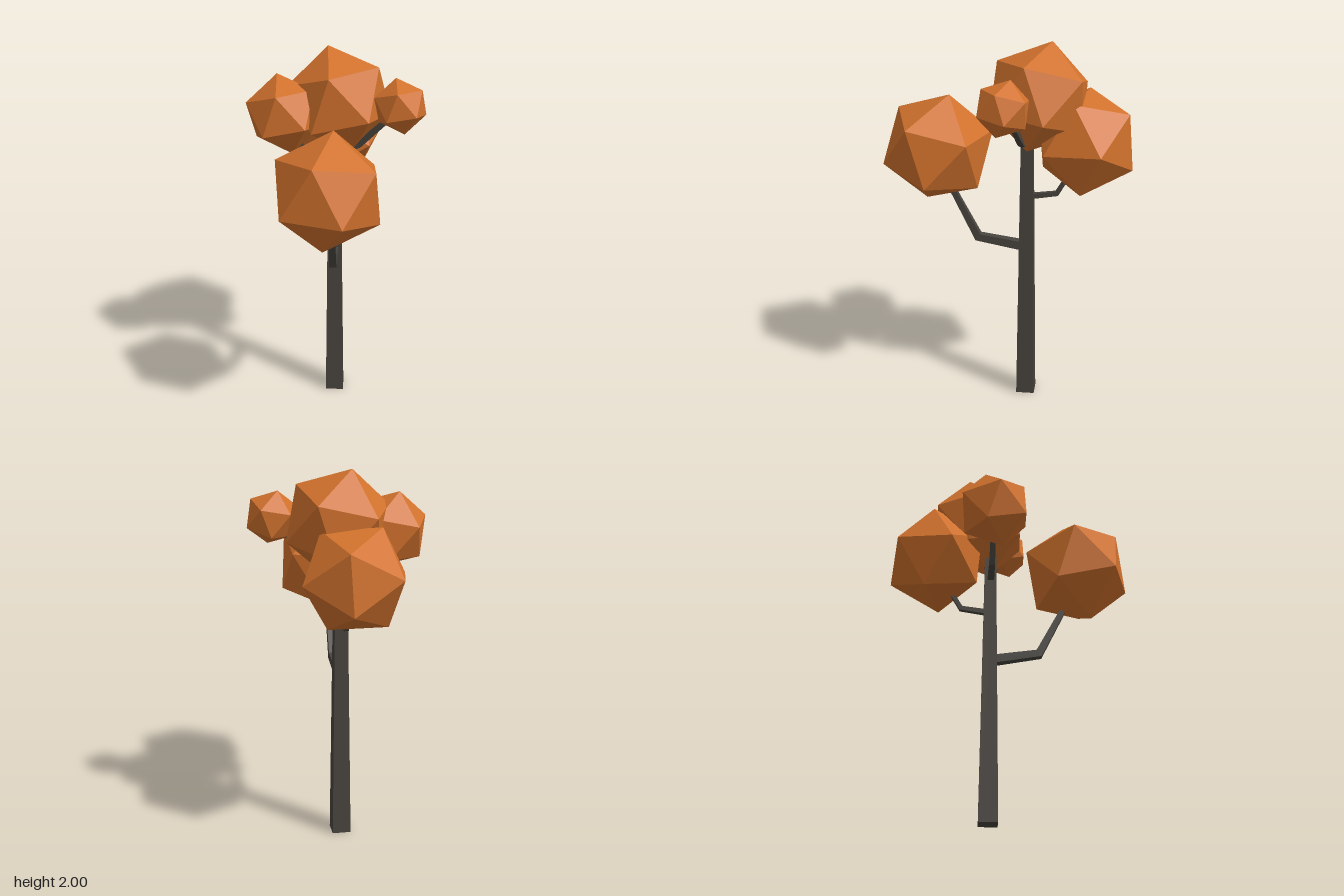
import * as THREE from 'three';

const V = (a) => new THREE.Vector3(...a);
const leafMat = new THREE.MeshStandardMaterial({ color: 0xd2722d, flatShading: true });
const barkMat = new THREE.MeshStandardMaterial({ color: 0x48443e, flatShading: true });

// Square beam swept along a bent path, with mitred elbows and a half width per point
function beam(path, halfWidths, side) {
  const pts = path.map(V), s = V(side).normalize(), pos = [], index = [];
  const dir = (i) => pts[i + 1].clone().sub(pts[i]).normalize();
  const last = pts.length - 1;
  pts.forEach((p, i) => {
    const a = dir(Math.max(i - 1, 0)), b = dir(Math.min(i, last - 1));
    const t = a.clone().add(b).normalize();
    const n = t.clone().cross(s).normalize().divideScalar(t.dot(b));
    for (const [u, v] of [[-1, -1], [1, -1], [1, 1], [-1, 1]]) {
      const c = p.clone().addScaledVector(s, u * halfWidths[i]).addScaledVector(n, v * halfWidths[i]);
      pos.push(c.x, c.y, c.z);
    }
  });
  for (let i = 0; i < last; i++) {
    for (let k = 0; k < 4; k++) {
      const a = i * 4 + k, b = i * 4 + (k + 1) % 4;
      index.push(a, b, b + 4, a, b + 4, a + 4);
    }
  }
  const e = last * 4;
  index.push(0, 2, 1, 0, 3, 2, e, e + 1, e + 2, e, e + 2, e + 3);
  const g = new THREE.BufferGeometry();
  g.setAttribute('position', new THREE.Float32BufferAttribute(pos, 3));
  g.setIndex(index);
  const flat = g.toNonIndexed();
  flat.computeVertexNormals();
  return flat;
}

// Orthonormal frame spanned by two neighbouring corner directions
function frame(a, b) {
  const x = a.clone().normalize();
  const z = x.clone().cross(b).normalize();
  return new THREE.Matrix4().makeBasis(x, z.clone().cross(x), z);
}

// Icosahedron turned so that two neighbouring corners point along dirA and dirB
function clump(center, radius, dirA, dirB) {
  const phi = (1 + Math.sqrt(5)) / 2;
  const from = frame(V([0, 1, phi]), V([0, -1, phi]));
  const turn = frame(V(dirA), V(dirB)).multiply(from.transpose());
  return new THREE.IcosahedronGeometry(radius, 0).applyMatrix4(turn).translate(...center);
}

export function createModel() {
  const tree = new THREE.Group();
  tree.name = 'tree';
  const add = (name, geometry, material) => {
    const mesh = new THREE.Mesh(geometry, material);
    mesh.name = name;
    tree.add(mesh);
  };

  // Tapered square trunk
  add('trunk', beam([[-0.008, 0, -0.108], [-0.008, 1.6, -0.106]], [0.05, 0.03], [1, 0, 0]), barkMat);

  // Bent branches reaching into the foliage
  add('frontBranch', beam([[-0.01, 0.89, -0.1], [-0.01, 0.932, 0.158], [-0.01, 1.3, 0.345]],
    [0.024, 0.02, 0.013], [1, 0, 0]), barkMat);
  add('backBranch', beam([[-0.01, 1.175, -0.11], [-0.01, 1.198, -0.265], [-0.01, 1.36, -0.36]],
    [0.014, 0.012, 0.01], [1, 0, 0]), barkMat);
  add('leftBranch', beam([[0, 1.46, -0.105], [0.12, 1.51, -0.087], [0.31, 1.7, -0.04]],
    [0.018, 0.016, 0.012], [0.1, 0, -1]), barkMat);
  add('rightBranch', beam([[-0.01, 1.37, -0.105], [-0.14, 1.41, -0.1], [-0.25, 1.63, -0.095]],
    [0.018, 0.016, 0.012], [0, 0, 1]), barkMat);

  // Foliage clumps: center, radius and two corner directions
  const clumps = {
    frontFoliage: [[-0.026, 1.425, 0.371], 0.303, [0.026, 0.295, -0.07], [-0.066, 0.198, 0.219]],
    topFoliage: [[0.015, 1.725, -0.17], 0.287, [-0.06, 0.275, -0.058], [0.204, 0.19, 0.062]],
    backFoliage: [[-0.026, 1.485, -0.407], 0.288, [0.066, 0.17, -0.228], [0.049, -0.132, -0.248]],
    rightFoliage: [[-0.267, 1.672, -0.092], 0.211, [-0.04, 0.201, -0.05], [-0.199, 0.068, 0.03]],
    leftFoliage: [[0.33, 1.74, -0.021], 0.145, [-0.024, 0.138, -0.034], [-0.136, 0.05, 0.021]],
  };
  for (const [name, spec] of Object.entries(clumps)) add(name, clump(...spec), leafMat);

  return tree;
}
